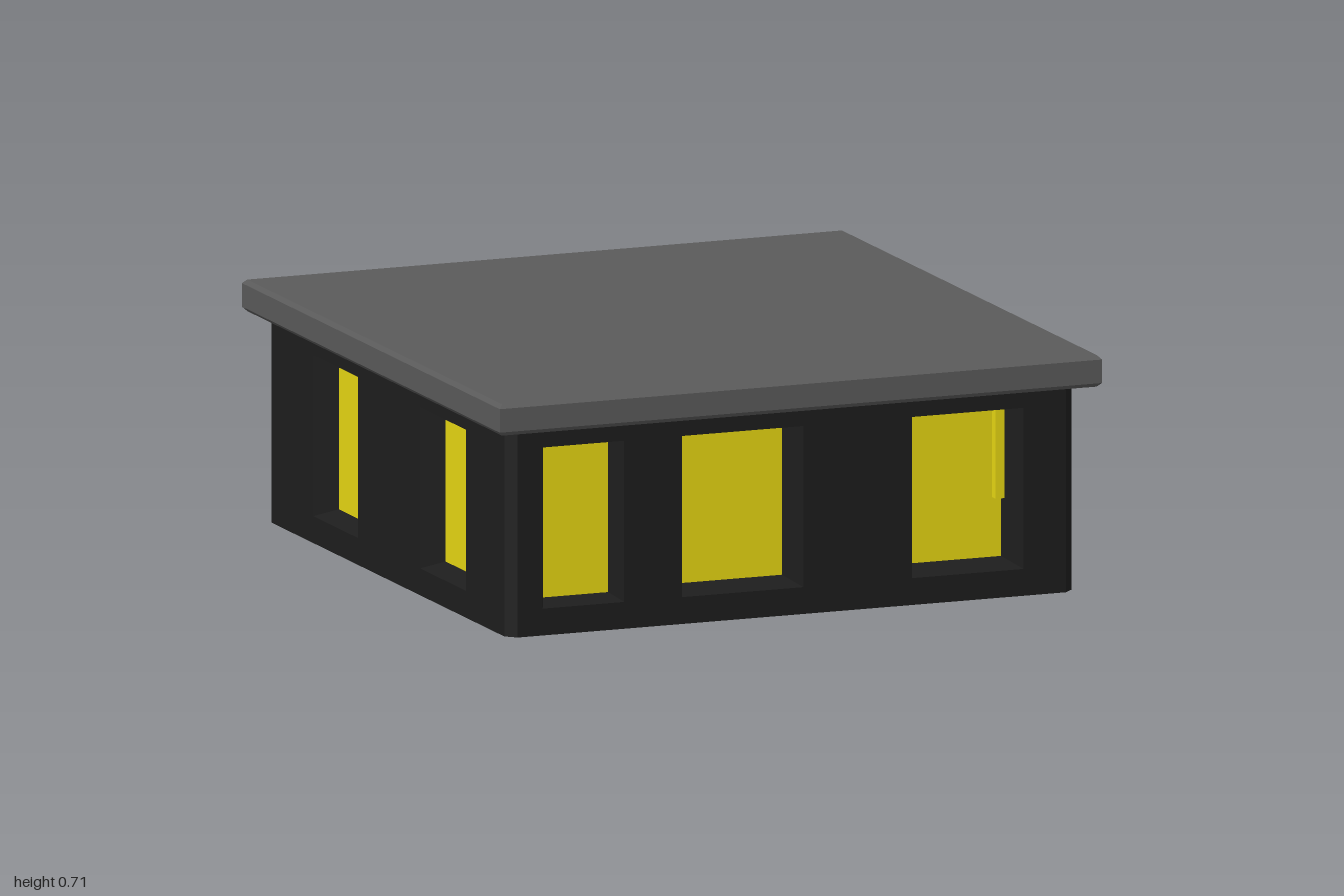
import * as THREE from 'three';

const mat = (color) => new THREE.MeshStandardMaterial({ color, flatShading: true, side: THREE.DoubleSide });

const X = 0.895, ZF = 0.93, ZB = -0.915, CH = 0.03, H = 0.63;
const OPEN_Y = [0.08, 0.56], PANE_Y = [0.1, 0.547], RIM = 0.026;

const rect = (C, x0, x1, y0, y1) => new C([
  new THREE.Vector2(x0, y0), new THREE.Vector2(x1, y0),
  new THREE.Vector2(x1, y1), new THREE.Vector2(x0, y1),
]);

export function createModel() {
  const house = new THREE.Group();
  house.name = 'house';
  const wallMat = mat(0x1d1d1d), glassMat = mat(0xe6d612), roofMat = mat(0x5a5a5a), frameMat = mat(0xcccccc);

  const add = (parent, name, geometry, material, x = 0, y = 0, z = 0) => {
    const mesh = new THREE.Mesh(geometry, material);
    mesh.name = name;
    mesh.position.set(x, y, z);
    parent.add(mesh);
    return mesh;
  };

  // Tapered lining from the wall opening back to the glass
  const reveal = (x0, x1, depth) => {
    const ring = (a, b, [c, d], z) => [[a, c, z], [b, c, z], [b, d, z], [a, d, z]];
    const o = ring(x0 - RIM, x1 + RIM, OPEN_Y, 0);
    const p = ring(x0, x1, PANE_Y, -depth);
    const pos = [];
    for (let i = 0; i < 4; i++) {
      const j = (i + 1) % 4;
      pos.push(...o[i], ...o[j], ...p[j], ...o[i], ...p[j], ...p[i]);
    }
    const g = new THREE.BufferGeometry();
    g.setAttribute('position', new THREE.Float32BufferAttribute(pos, 3));
    g.computeVertexNormals();
    return g;
  };

  // One wall with recessed windows, each given as [left, right, depth]
  const addWall = (name, from, to, windows, x, z, turn) => {
    const wall = new THREE.Group();
    wall.name = name;
    const shape = rect(THREE.Shape, from, to, 0, H);
    for (const [a, b, depth] of windows) {
      shape.holes.push(rect(THREE.Path, a - RIM, b + RIM, ...OPEN_Y));
      add(wall, 'windowReveal', reveal(a, b, depth), wallMat);
      add(wall, 'windowPane', new THREE.ShapeGeometry(rect(THREE.Shape, a, b, ...PANE_Y)), glassMat, 0, 0, -depth);
    }
    add(wall, 'wallPanel', new THREE.ShapeGeometry(shape), wallMat);
    wall.position.set(x, 0, z);
    wall.rotation.y = turn;
    house.add(wall);
    return wall;
  };

  const front = addWall('frontWall', -X + CH, X - CH,
    [[-0.76, -0.555, 0.06], [-0.32, 0.01, 0.1], [0.405, 0.705, 0.11]], 0, ZF, 0);
  addWall('backWall', -X + CH, X - CH,
    [[-0.71, -0.42, 0.11], [-0.01, 0.32, 0.1]], 0, ZB, Math.PI);
  addWall('leftWall', -ZF + CH, -ZB - CH,
    [[-0.58, -0.28, 0.07], [0.24, 0.54, 0.07]], X, 0, Math.PI / 2);
  addWall('rightWall', ZB + CH, ZF - CH,
    [[-0.54, -0.25, 0.07], [0.28, 0.58, 0.07]], -X, 0, -Math.PI / 2);

  // Narrow glass leaf standing at the edge of one front window
  add(front, 'windowLeaf', new THREE.BoxGeometry(0.028, 0.27, 0.03), glassMat, 0.69, 0.413, -0.095);

  // Chamfered corners
  for (const sx of [-1, 1]) for (const z of [ZF - CH, ZB + CH]) {
    add(house, 'cornerPost', new THREE.CylinderGeometry(CH, CH, H, 4), wallMat, sx * (X - CH), H / 2, z);
  }

  // Floor, with its corners cut to meet the posts
  const mid = (ZF + ZB) / 2, half = (ZF - ZB) / 2;
  const floor = new THREE.Shape([
    [X - CH, half], [-X + CH, half], [-X, half - CH], [-X, -half + CH],
    [-X + CH, -half], [X - CH, -half], [X, -half + CH], [X, half - CH],
  ].map(([a, b]) => new THREE.Vector2(a, b)));
  add(house, 'floor', new THREE.ShapeGeometry(floor), wallMat, 0, 0, mid).rotation.x = Math.PI / 2;

  // Overhanging flat roof with bevelled edges
  const bevel = 0.012;
  const roof = new THREE.ExtrudeGeometry(rect(THREE.Shape, -0.95 + bevel, 0.95 - bevel, -0.99 + bevel, 0.99 - bevel), {
    depth: 0.07, bevelEnabled: true, bevelSize: bevel, bevelThickness: bevel, bevelSegments: 1,
  });
  add(house, 'roof', roof, roofMat, 0, 0.63, 0.01).rotation.x = -Math.PI / 2;

  // Back door: two framed panes with a bar between them
  const door = new THREE.Group();
  door.name = 'backDoor';
  house.add(door);
  const DX = [-0.785, -0.535], T = 0.02;
  for (const [y0, y1] of [[0, 0.25], [0.26, 0.56]]) {
    const frame = rect(THREE.Shape, ...DX, y0, y1);
    const inner = [DX[0] + T, DX[1] - T, y0 + T, y1 - T];
    frame.holes.push(rect(THREE.Path, ...inner));
    add(door, 'doorFrame', new THREE.ExtrudeGeometry(frame, { depth: 0.06, bevelEnabled: false }), frameMat, 0, 0, -0.973);
    add(door, 'doorPane', new THREE.ShapeGeometry(rect(THREE.Shape, ...inner)), glassMat, 0, 0, -0.96);
  }
  add(door, 'doorBar', new THREE.BoxGeometry(0.29, 0.05, 0.1), wallMat, -0.657, 0.255, -0.95);

  return house;
}
